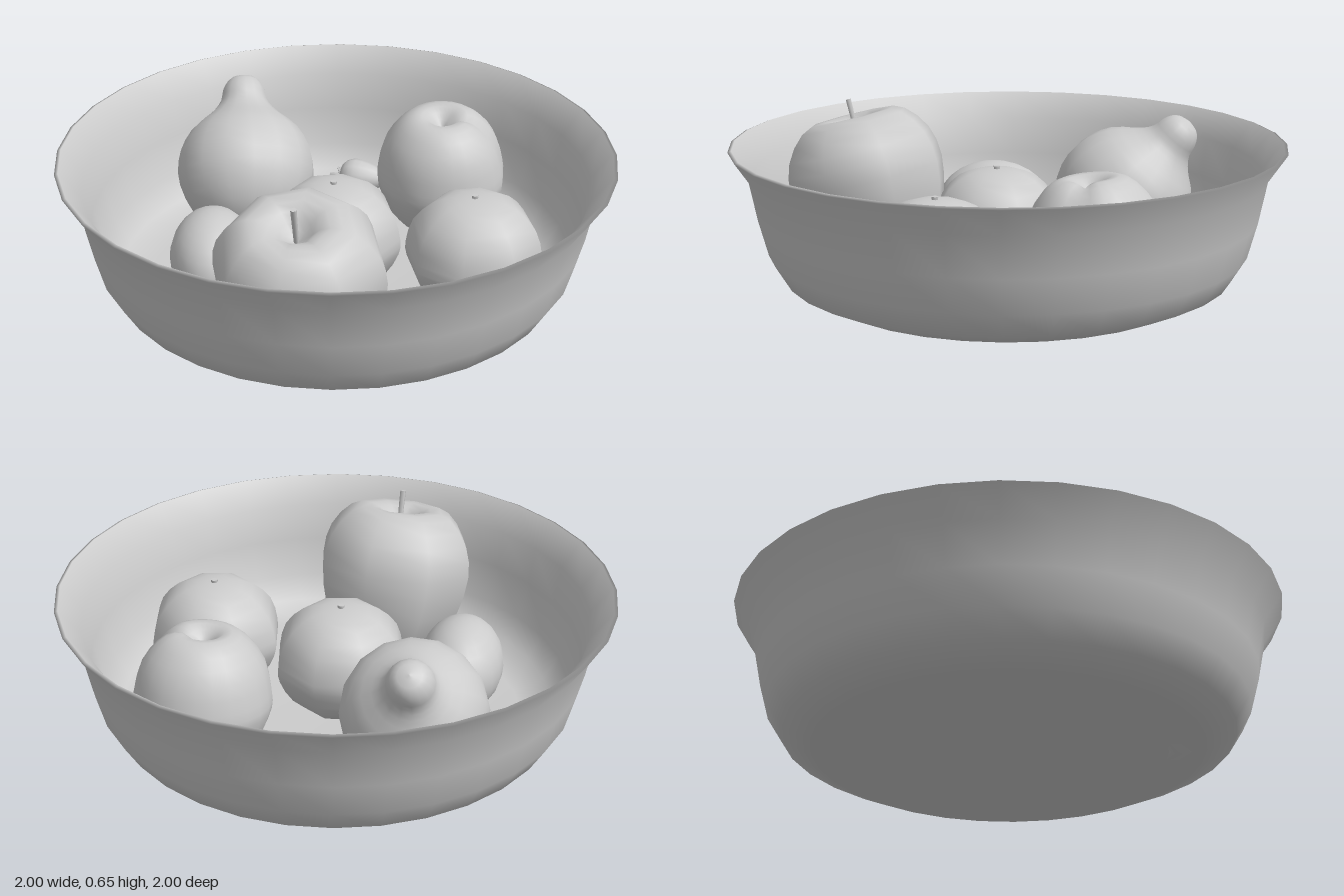
import * as THREE from 'three';
import { mergeVertices } from 'three/addons/utils/BufferGeometryUtils.js';

const material = new THREE.MeshStandardMaterial({ color: 0xcccccc, side: THREE.DoubleSide });

// Turned body from [radius, height] pairs, listed bottom to top; optionally smoothed by a spline
function turned(name, pairs, sides, smooth = 0) {
  let points = pairs.map(([r, y]) => new THREE.Vector2(r, y));
  if (smooth) {
    points = new THREE.SplineCurve(points).getPoints(smooth);
    points.forEach((p) => { p.x = Math.max(0, p.x); });
  }
  const mesh = new THREE.Mesh(new THREE.LatheGeometry(points, sides), material);
  mesh.name = name;
  return mesh;
}

function stem(name, radius, from, to) {
  const mesh = new THREE.Mesh(new THREE.CylinderGeometry(radius, radius * 0.8, to - from, 6), material);
  mesh.position.y = (from + to) / 2;
  mesh.name = name;
  return mesh;
}

function group(name, x, y, z, ...parts) {
  const g = new THREE.Group();
  g.name = name;
  g.position.set(x, y, z);
  g.add(...parts);
  return g;
}

function createOrange(x, z) {
  const skin = turned('orangeSkin', [[0, 0], [0.1, 0.015], [0.19, 0.08], [0.24, 0.17],
    [0.245, 0.23], [0.22, 0.32], [0.15, 0.395], [0.07, 0.425], [0, 0.43]], 8, 16);
  return group('orange', x, 0, z, skin, stem('orangeStem', 0.013, 0.41, 0.44));
}

function createApple() {
  const skin = turned('appleSkin', [[0, -0.24], [0.08, -0.285], [0.17, -0.26], [0.26, -0.12], [0.3, 0.05],
    [0.275, 0.18], [0.19, 0.275], [0.1, 0.28], [0.04, 0.23], [0, 0.2]], 8, 20);
  const apple = group('apple', 0, 0.3, 0.56, skin, stem('appleStem', 0.011, 0.19, 0.35));
  apple.rotation.x = 0.26;
  return apple;
}

function createPear() {
  const skin = turned('pear', [[0, -0.26], [0.1, -0.24], [0.2, -0.165], [0.255, -0.05], [0.252, 0.06],
    [0.205, 0.155], [0.125, 0.225], [0.09, 0.27], [0.078, 0.32], [0.05, 0.36], [0, 0.375]], 16, 24);
  skin.position.set(-0.415, 0.275, -0.29);
  // lean the neck back and to the side
  skin.quaternion.setFromUnitVectors(new THREE.Vector3(0, 1, 0), new THREE.Vector3(-0.065, 0.285, -0.23).normalize());
  return skin;
}

function createPeach() {
  const peach = turned('peach', [[0, -0.24], [0.1, -0.225], [0.19, -0.155], [0.24, -0.04], [0.242, 0.03],
    [0.215, 0.14], [0.15, 0.225], [0.085, 0.25], [0.035, 0.22], [0, 0.18]], 24, 20);
  // press a cleft into one side, fading toward the base
  const p = peach.geometry.attributes.position;
  for (let i = 0; i < p.count; i++) {
    const angle = Math.atan2(p.getZ(i), p.getX(i));
    const fade = THREE.MathUtils.smoothstep(p.getY(i), -0.2, 0.2);
    const s = 1 - 0.09 * fade * Math.exp(-((angle / 0.25) ** 2));
    p.setXYZ(i, p.getX(i) * s, p.getY(i) * s, p.getZ(i) * s);
  }
  peach.geometry.deleteAttribute('uv');
  peach.geometry.deleteAttribute('normal');
  peach.geometry = mergeVertices(peach.geometry);
  peach.geometry.computeVertexNormals();
  peach.position.set(0.31, 0.26, -0.46);
  peach.rotation.set(0.1, 0.1, 0);
  return peach;
}

function createKiwi() {
  const kiwi = new THREE.Mesh(new THREE.SphereGeometry(1, 20, 14), material);
  kiwi.name = 'kiwi';
  kiwi.scale.set(0.155, 0.17, 0.22);
  kiwi.position.set(-0.4, 0.19, 0.235);
  kiwi.rotation.y = 0.25;
  return kiwi;
}

function createStrawberry() {
  const berry = turned('berry', [[0, -0.08], [0.045, -0.075], [0.07, -0.03], [0.056, 0.04],
    [0.022, 0.1], [0, 0.115]], 12, 14);
  const strawberry = group('strawberry', -0.05, 0.09, -0.685, berry, stem('strawberryStem', 0.008, -0.125, -0.07));
  // ring of small leaves around the stem
  for (let i = 0; i < 5; i++) {
    const a = (i / 5) * Math.PI * 2;
    const leaf = new THREE.Mesh(new THREE.ConeGeometry(0.015, 0.05, 4), material);
    leaf.name = 'leaf';
    leaf.position.set(Math.sin(a) * 0.025, -0.085, Math.cos(a) * 0.025);
    leaf.quaternion.setFromUnitVectors(new THREE.Vector3(0, 1, 0),
      new THREE.Vector3(Math.sin(a), -0.35, Math.cos(a)).normalize());
    strawberry.add(leaf);
  }
  strawberry.rotation.z = -Math.PI / 2;
  return strawberry;
}

export function createModel() {
  const model = new THREE.Group();
  model.name = 'fruitBowl';

  // Bowl: outer wall up to the flared rim, then down the inner wall to the floor
  const bowl = turned('bowl', [[0, 0.004], [0.69, 0.004], [0.81, 0.06], [0.865, 0.15], [0.9, 0.28], [0.93, 0.43],
    [0.998, 0.53], [0.985, 0.535], [0.91, 0.44], [0.885, 0.3], [0.845, 0.16], [0.79, 0.075],
    [0.68, 0.025], [0, 0.02]], 32);
  model.add(bowl);

  // Fruit
  model.add(createOrange(0, 0.045), createOrange(0.51, 0.045));
  model.add(createApple(), createPear(), createPeach(), createKiwi(), createStrawberry());
  return model;
}
